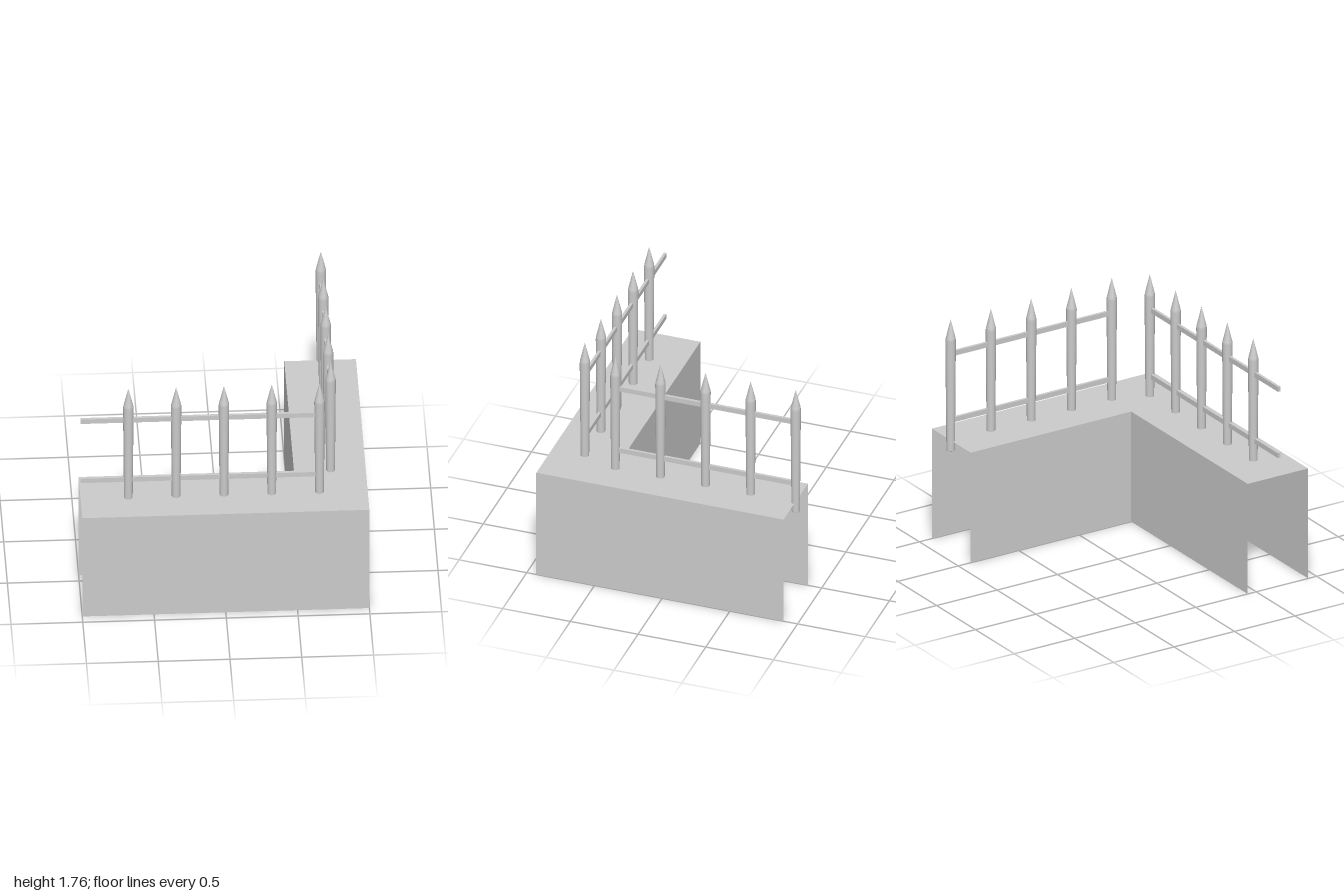
import * as THREE from 'three';

const WALL_TOP = 0.835;
const POST_BASE = 0.765;

export function createModel() {
  const model = new THREE.Group();
  const grey = new THREE.MeshStandardMaterial({ color: 0xcccccc });
  const thin = new THREE.MeshStandardMaterial({ color: 0xcccccc, side: THREE.DoubleSide });

  const add = (parent, name, geometry, material = grey) => {
    const mesh = new THREE.Mesh(geometry, material);
    mesh.name = name;
    parent.add(mesh);
    return mesh;
  };

  // Corner wall: an L-shaped shell, open underneath and at both ends
  const wall = new THREE.Group();
  wall.name = 'cornerWall';
  model.add(wall);
  const outer = [[-1, 0.93], [1, 0.93], [1, -0.897]];
  const inner = [[0.5, -0.897], [0.5, 0.43], [-1, 0.43]];

  const outline = [...outer, ...inner].map(([x, z]) => new THREE.Vector2(x, -z));
  const top = new THREE.ShapeGeometry(new THREE.Shape(outline));
  top.rotateX(-Math.PI / 2).translate(0, WALL_TOP, 0);
  add(wall, 'wallTop', top, thin);

  for (const [side, path] of [['outer', outer], ['inner', inner]]) {
    for (let i = 0; i < path.length - 1; i++) {
      const [x0, z0] = path[i], [x1, z1] = path[i + 1];
      const face = new THREE.PlaneGeometry(Math.hypot(x1 - x0, z1 - z0), WALL_TOP);
      face.rotateY(Math.atan2(z0 - z1, x1 - x0));
      face.translate((x0 + x1) / 2, WALL_TOP / 2, (z0 + z1) / 2);
      add(wall, side + 'WallFace', face, thin);
    }
  }

  // Pointed post, slightly wider towards the shoulder
  const profile = [[0, POST_BASE], [0.03, POST_BASE], [0.03, POST_BASE + 0.002], [0.037, 1.595],
    [0.034, 1.615], [0, 1.757]].map(([r, y]) => new THREE.Vector2(r, y));
  const postGeometry = new THREE.LatheGeometry(profile, 12);

  // A fence run lies along local x: five posts and two rails
  const fence = (name, firstPost, railStart, railEnd) => {
    const run = new THREE.Group();
    run.name = name;
    for (let i = 0; i < 5; i++) {
      add(run, 'post', postGeometry).position.x = firstPost + i * 0.333;
    }
    for (const y of [0.99, 1.493]) {
      const rail = add(run, 'rail', new THREE.BoxGeometry(railEnd - railStart, 0.037, 0.02));
      rail.position.set((railStart + railEnd) / 2, y, 0);
    }
    model.add(run);
    return run;
  };

  fence('frontFence', -0.667, -1, 0.665).position.z = 0.69;

  const sideFence = fence('sideFence', -0.433, -0.43, 0.897);
  sideFence.rotation.y = Math.PI / 2;
  sideFence.position.x = 0.755;

  return model;
}
